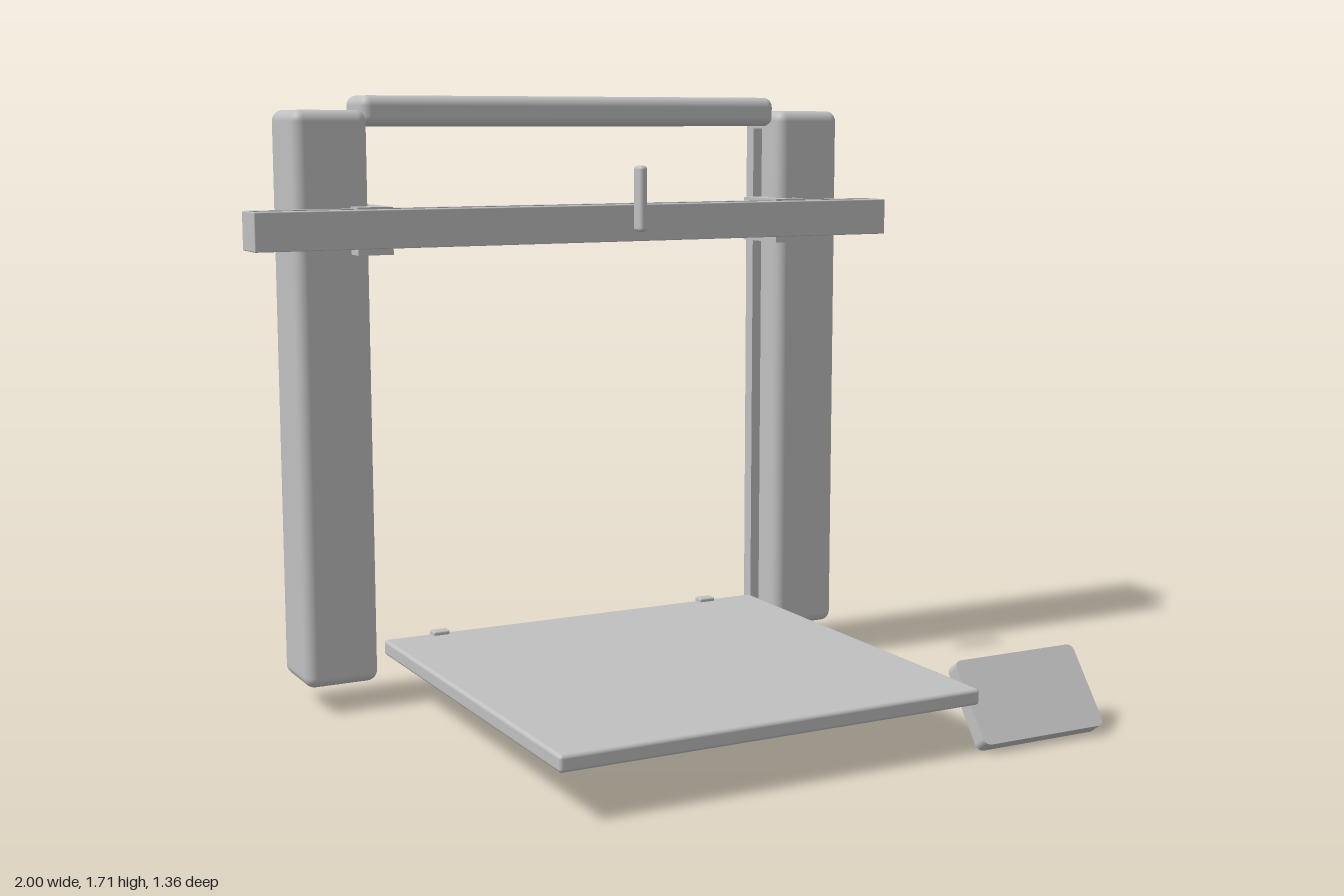
import * as THREE from 'three';
import { mergeGeometries } from 'three/addons/utils/BufferGeometryUtils.js';
import { RoundedBoxGeometry } from 'three/addons/geometries/RoundedBoxGeometry.js';

const grey = new THREE.MeshStandardMaterial({ color: 0xbfbfbf });
grey.name = 'grey';

// Rounded box whose +z face has a rectangular channel cut into it
function channelBox(w, h, d, r, chW, chH, depth) {
  const body = new RoundedBoxGeometry(w, h, d, 4, r);
  const p = body.attributes.position, keep = [];
  for (let i = 0; i < p.count; i += 3) {
    const flat = [0, 1, 2].every((k) => p.getZ(i + k) > d / 2 - 1e-5);
    if (!flat) keep.push(i, i + 1, i + 2);
  }
  body.setIndex(keep);
  const rect = (T, a, b) => {
    const s = new T();
    s.moveTo(-a, -b); s.lineTo(a, -b); s.lineTo(a, b); s.lineTo(-a, b); s.closePath();
    return s;
  };
  // face around the channel
  const shape = rect(THREE.Shape, w / 2 - r, h / 2 - r);
  shape.holes.push(rect(THREE.Path, chW / 2, chH / 2));
  const face = new THREE.ShapeGeometry(shape).translate(0, 0, d / 2);
  // walls and floor of the channel: a box turned inside out, open at +z
  const well = new THREE.BoxGeometry(chW, chH, depth).translate(0, 0, d / 2 - depth / 2);
  const idx = Array.from(well.index.array);
  idx.splice(24, 6);
  well.setIndex(idx.reverse());
  const wellFlat = well.toNonIndexed();
  wellFlat.computeVertexNormals();
  const parts = [body.toNonIndexed(), face.toNonIndexed(), wellFlat];
  parts.forEach((g) => g.clearGroups());
  return mergeGeometries(parts);
}

export function createModel() {
  const model = new THREE.Group();
  model.name = 'gantryMachine';

  const add = (name, geometry, x = 0, y = 0, z = 0) => {
    const mesh = new THREE.Mesh(geometry, grey);
    mesh.name = name;
    mesh.position.set(x, y, z);
    model.add(mesh);
    return mesh;
  };
  // box given by its limits on each axis
  const block = (name, [x0, x1], [y0, y1], [z0, z1], r = 0) => {
    const s = [x1 - x0, y1 - y0, z1 - z0];
    const g = r ? new RoundedBoxGeometry(...s, 4, r) : new THREE.BoxGeometry(...s);
    return add(name, g, (x0 + x1) / 2, (y0 + y1) / 2, (z0 + z1) / 2);
  };

  // columns with guide channels on their inner faces, and the carriages on them
  const mid = 0.005;
  for (const side of [-1, 1]) {
    const label = side > 0 ? 'left' : 'right';
    const column = channelBox(0.215, 1.595, 0.212, 0.03, 0.09, 1.49, 0.03);
    column.rotateY(-side * Math.PI / 2);
    add(label + 'Column', column, mid + side * 0.754, 0.8775, -0.572);

    const span = (a, b) => [mid + side * a, mid + side * b].sort((m, n) => m - n);
    block(label + 'Carriage', span(0.605, 0.705), [1.285, 1.415], [-0.472, -0.405]);
    block(label + 'CarriageArm', span(0.605, 0.672), [1.285, 1.415], [-0.6, -0.47]);

    // clip at the back edge of the bed
    block(label + 'BedClip', span(0.413, 0.463), [0.165, 0.187], [-0.555, -0.52], 0.005);
  }

  // bar joining the column tops
  block('topBar', [-0.65, 0.66], [1.63, 1.715], [-0.65, -0.5], 0.028);

  // cross beam with a channel along its top
  const beam = channelBox(1.965, 0.112, 0.105, 0.003, 1.945, 0.045, 0.02);
  beam.rotateX(-Math.PI / 2);
  add('crossBeam', beam, -0.0175, 1.3575, -0.411);

  // small tool head in front of the beam
  block('toolHead', [0.07, 0.096], [1.337, 1.522], [-0.29, -0.243], 0.011);

  // flat bed
  block('bed', [-0.6, 0.61], [0.132, 0.176], [-0.55, 0.65], 0.01);

  // tilted control panel
  const panelShape = new THREE.Shape();
  const a = 0.197, b = 0.12, r = 0.02;
  panelShape.absarc(a - r, b - r, r, 0, Math.PI / 2);
  panelShape.absarc(-a + r, b - r, r, Math.PI / 2, Math.PI);
  panelShape.absarc(-a + r, -b + r, r, Math.PI, Math.PI * 1.5);
  panelShape.absarc(a - r, -b + r, r, Math.PI * 1.5, Math.PI * 2);
  const panel = new THREE.ExtrudeGeometry(panelShape, { depth: 0.043, bevelEnabled: false, curveSegments: 5 });
  panel.translate(0, 0, -0.0215);
  add('controlPanel', panel, 0.803, 0.115, 0.595).rotation.x = -0.65;

  return model;
}
